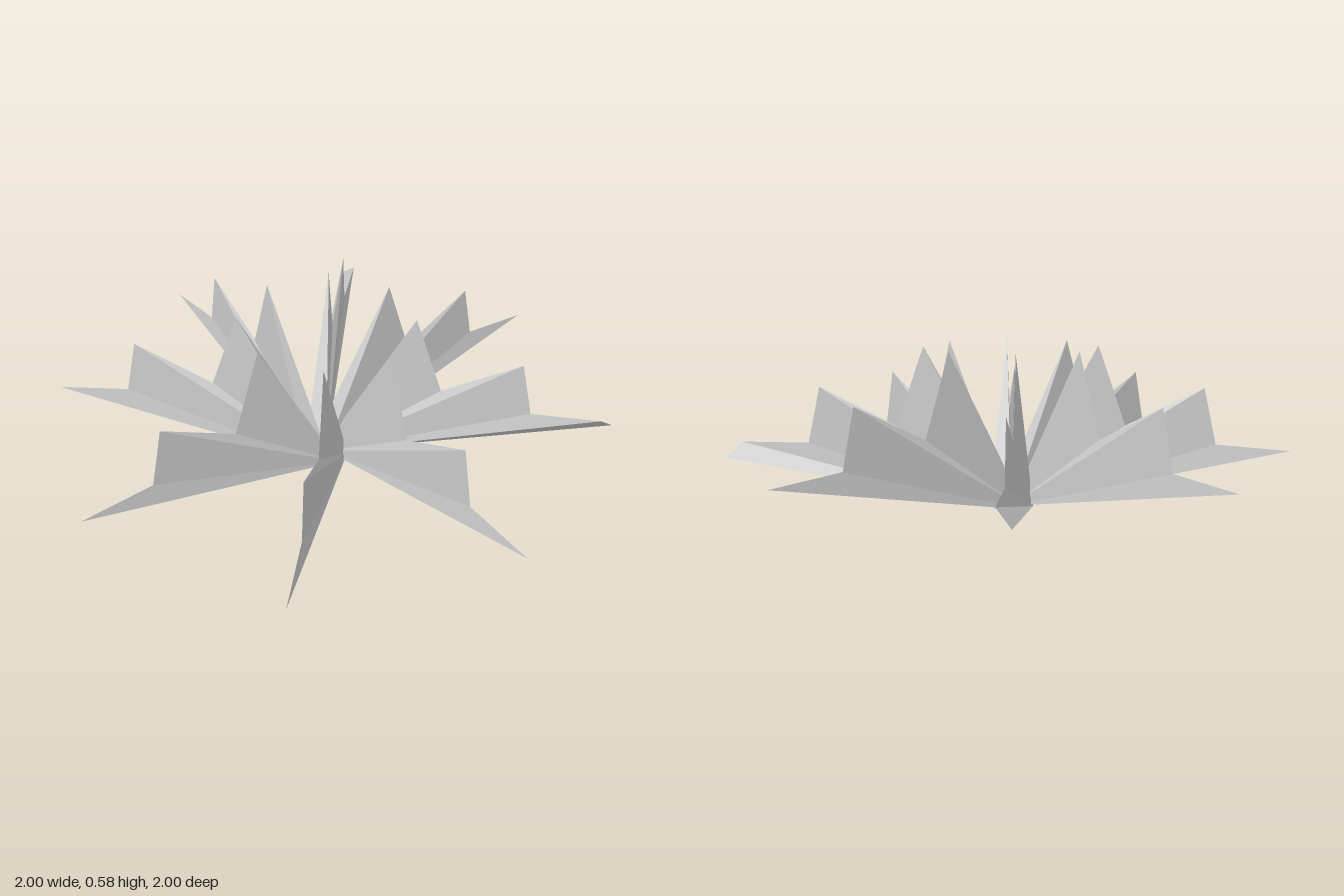
import * as THREE from 'three';

const WIDTH = 0.08;

// Saw-toothed outline of one arm, lowest spike first: distance out, height, sideways offset
const OUTLINE = [
  [1.0, 0.21, 0.04], // low tip
  [0.735, 0.23, 0.04],
  [0.69, 0.435, 0.04], // middle tip
  [0.41, 0.295, 0.04],
  [0.31, 0.585, 0.04], // upper tip
];

// Variant whose low spike ends in a split, twisted edge
const SPLIT_OUTLINE = [[1.03, 0.18, 0.085], [0.983, 0.23, 0.035], ...OUTLINE.slice(1)];

// Two fans of triangles run from the hub corners to the outline, closed below and inside
function bladeGeometry(outline) {
  const points = outline.map(([out, y, side]) => [out, y, -side]);
  const a = [0, 0, 0];
  const b = [0, 0, -WIDTH];
  const positions = [];
  const face = (...corners) => corners.forEach((c) => positions.push(...c));

  for (let i = 0; i < points.length - 1; i++) {
    face(a, points[i], points[i + 1]);
    face(b, points[i + 1], points[i]);
  }
  face(a, b, points[0]); // underside
  face(a, points[points.length - 1], b); // inner slope

  const geometry = new THREE.BufferGeometry();
  geometry.setAttribute('position', new THREE.Float32BufferAttribute(positions, 3));
  geometry.computeVertexNormals();
  return geometry;
}

export function createModel() {
  const model = new THREE.Group();
  model.name = 'spikyPlant';
  const material = new THREE.MeshStandardMaterial({
    color: 0xcccccc, flatShading: true, side: THREE.DoubleSide,
  });
  const leaf = bladeGeometry(OUTLINE);
  const splitLeaf = bladeGeometry(SPLIT_OUTLINE);

  // Eight leaves around the hub; the two rear diagonal ones have split tips
  for (let i = 0; i < 8; i++) {
    const split = i === 1 || i === 3;
    const mesh = new THREE.Mesh(split ? splitLeaf : leaf, material);
    mesh.name = split ? 'splitLeaf' : 'leaf';
    mesh.rotation.y = (i * Math.PI) / 4;
    model.add(mesh);
  }
  return model;
}
